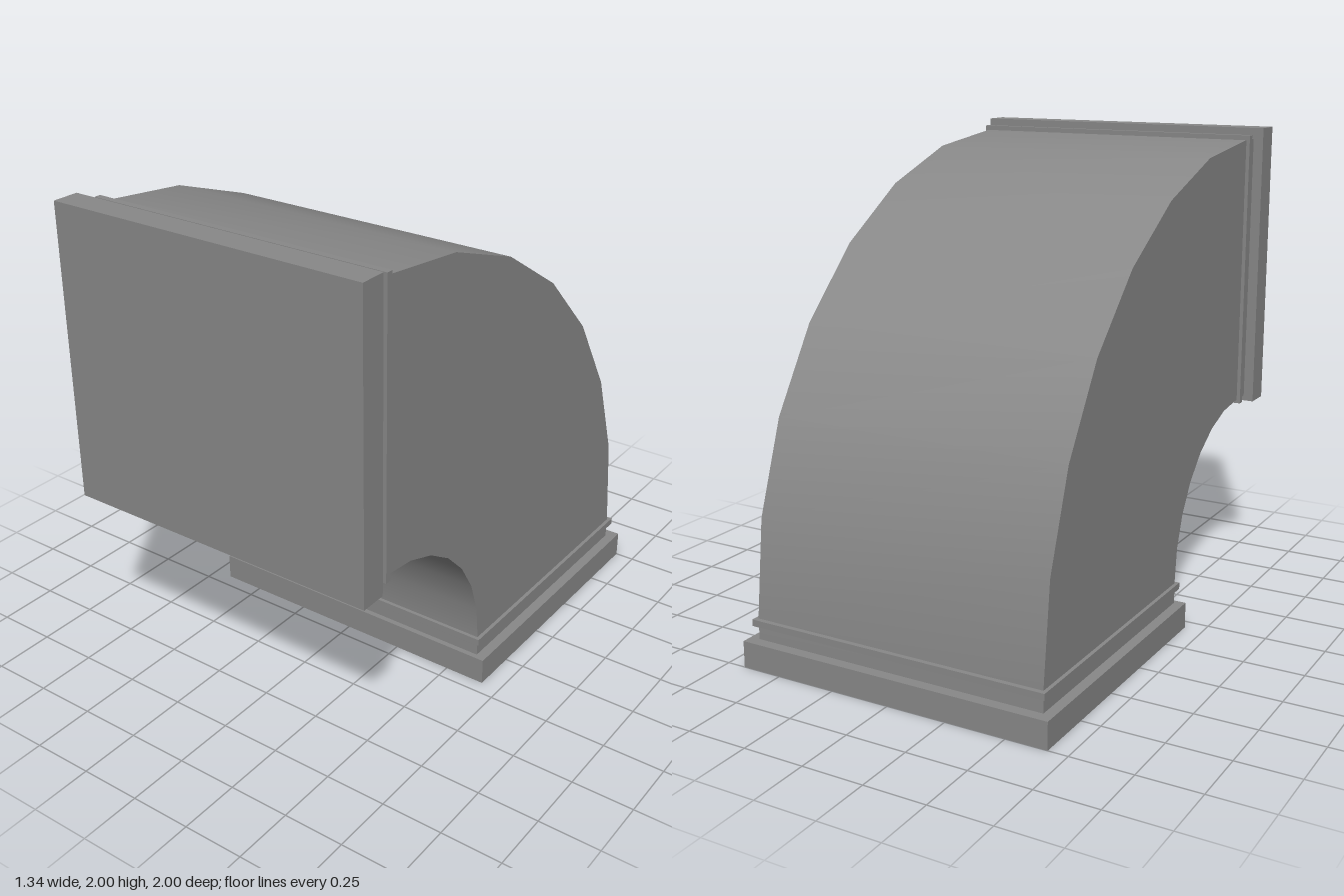
import * as THREE from 'three';
import { toCreasedNormals } from 'three/addons/utils/BufferGeometryUtils.js';

// Bend centre (z, y), the inner / outer radii and half width of the duct
const CZ = 0.798, CY = 0.202, INNER = 0.628, OUTER = 1.752, HALF = 0.628;
const SEGMENTS = 7, COLLAR = 0.1;

const material = new THREE.MeshStandardMaterial({ color: 0x888888 });

// Rectangular slabs at each mouth: radial range, half width, distance range from the bend
const SLABS = [
  { name: 'Bead', r: [0.613, 1.772], half: 0.643, t: [0.007, 0.034] },
  { name: 'Flange', r: [0.606, 1.798], half: 0.67, t: [0.093, 0.202] },
];

function addSlab(group, prefix, { name, r, half, t }, isFront) {
  const height = r[1] - r[0], depth = t[1] - t[0];
  const rMid = (r[0] + r[1]) / 2, tMid = (t[0] + t[1]) / 2;
  const geometry = isFront
    ? new THREE.BoxGeometry(half * 2, height, depth)
    : new THREE.BoxGeometry(half * 2, depth, height);
  const mesh = new THREE.Mesh(geometry, material);
  mesh.name = prefix + name;
  if (isFront) mesh.position.set(0, CY + rMid, CZ + tMid);
  else mesh.position.set(0, CY - tMid, CZ - rMid);
  group.add(mesh);
}

// Quarter arc in the z-y plane with a short straight collar at both ends
function ductEdge(radius) {
  const points = [new THREE.Vector2(CZ + COLLAR, CY + radius)];
  for (let i = 0; i <= SEGMENTS; i++) {
    const a = (i / SEGMENTS) * Math.PI / 2;
    points.push(new THREE.Vector2(CZ - radius * Math.sin(a), CY + radius * Math.cos(a)));
  }
  points.push(new THREE.Vector2(CZ - radius, CY - COLLAR));
  return points;
}

// Duct body: the profile between the two edges, extruded across x
function makeElbow() {
  const shape = new THREE.Shape([...ductEdge(OUTER), ...ductEdge(INNER).reverse()]);
  const geometry = new THREE.ExtrudeGeometry(shape, { depth: HALF * 2, bevelEnabled: false });
  geometry.translate(0, 0, -HALF);
  geometry.rotateY(-Math.PI / 2);
  const mesh = new THREE.Mesh(toCreasedNormals(geometry, Math.PI / 6), material);
  mesh.name = 'ductElbow';
  return mesh;
}

export function createModel() {
  const group = new THREE.Group();
  group.name = 'ductBend';
  group.add(makeElbow());
  for (const slab of SLABS) {
    addSlab(group, 'front', slab, true);
    addSlab(group, 'base', slab, false);
  }
  return group;
}
